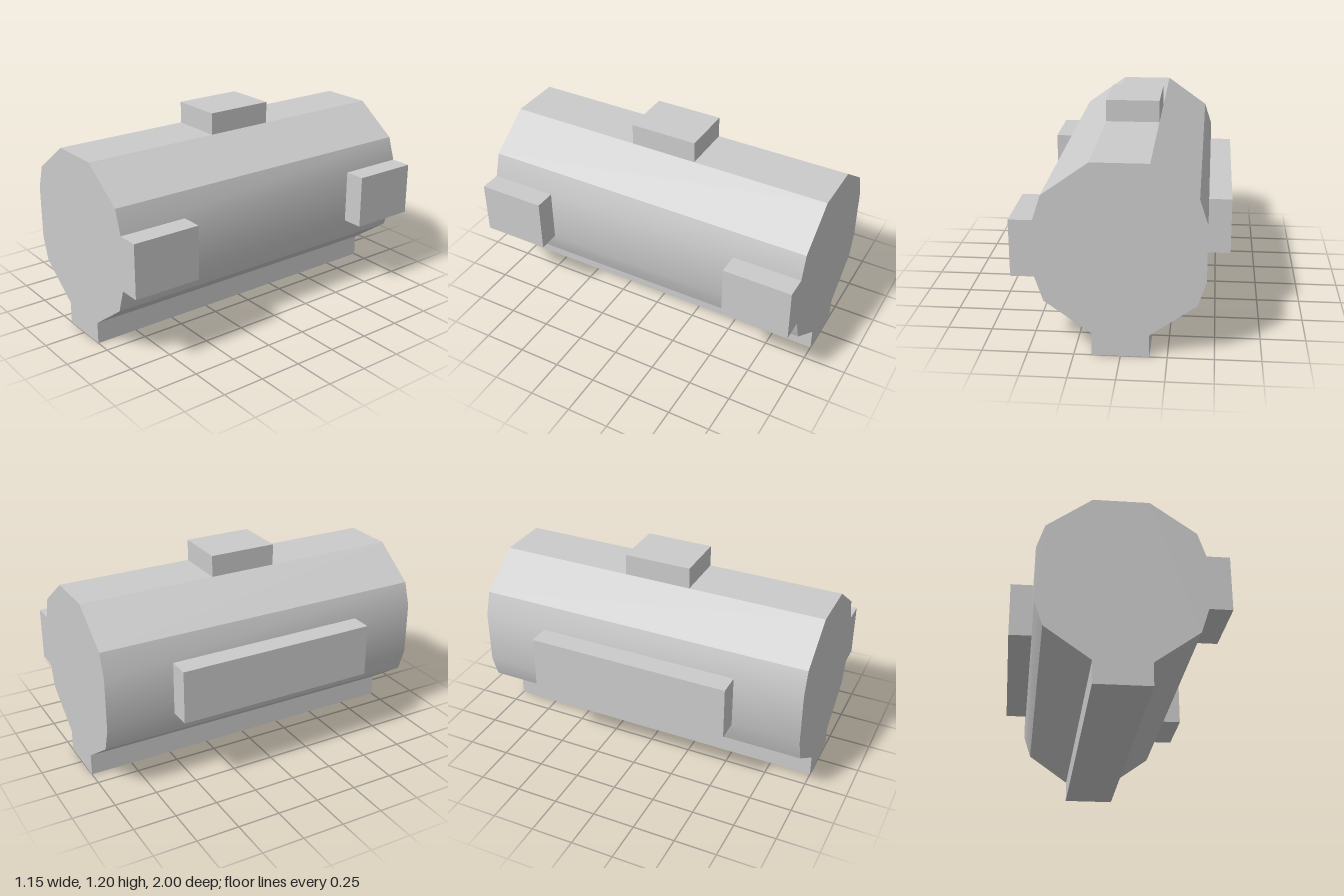
import * as THREE from 'three';
import { toCreasedNormals } from 'three/addons/utils/BufferGeometryUtils.js';

export function createModel() {
  const model = new THREE.Group();
  model.name = 'keyedBarrel';
  const material = new THREE.MeshStandardMaterial({ color: 0xcccccc });

  // Barrel: faceted section, mirrored about its centre, run along z
  const centreY = 0.602;
  const quarter = [[0.45, 0.157], [0.405, 0.294], [0.154, 0.474]];
  const mirror = (pts, sx, sy) => pts.map(([x, y]) => new THREE.Vector2(x * sx, centreY + y * sy));
  const section = new THREE.Shape([
    ...mirror(quarter, 1, 1),
    ...mirror(quarter, -1, 1).reverse(),
    ...mirror(quarter, -1, -1),
    ...mirror(quarter, 1, -1).reverse(),
  ]);
  const barrelGeometry = new THREE.ExtrudeGeometry(section, { depth: 2, bevelEnabled: false });
  barrelGeometry.translate(0, 0, -1);
  // The shallow side bends are smooth, the steeper ones stay sharp
  const barrel = new THREE.Mesh(toCreasedNormals(barrelGeometry, 0.5), material);
  barrel.name = 'barrel';
  model.add(barrel);

  // Rectangular keys seated on the flats
  function addKey(name, [w, h, d], [x, y, z]) {
    const key = new THREE.Mesh(new THREE.BoxGeometry(w, h, d), material);
    key.name = name;
    key.position.set(x, y, z);
    model.add(key);
  }
  const rise = 0.126;
  const sideX = 0.45 + rise / 2;
  addKey('topKey', [0.308, rise, 0.4], [0, 1.076 + rise / 2, 0]);
  addKey('bottomRail', [0.308, 0.128, 2], [0, 0.064, 0]);
  addKey('rightKey', [rise, 0.314, 1.2], [-sideX, centreY, 0]);
  addKey('leftFrontKey', [rise, 0.314, 0.4], [sideX, centreY, 0.8]);
  addKey('leftBackKey', [rise, 0.314, 0.4], [sideX, centreY, -0.8]);

  return model;
}
